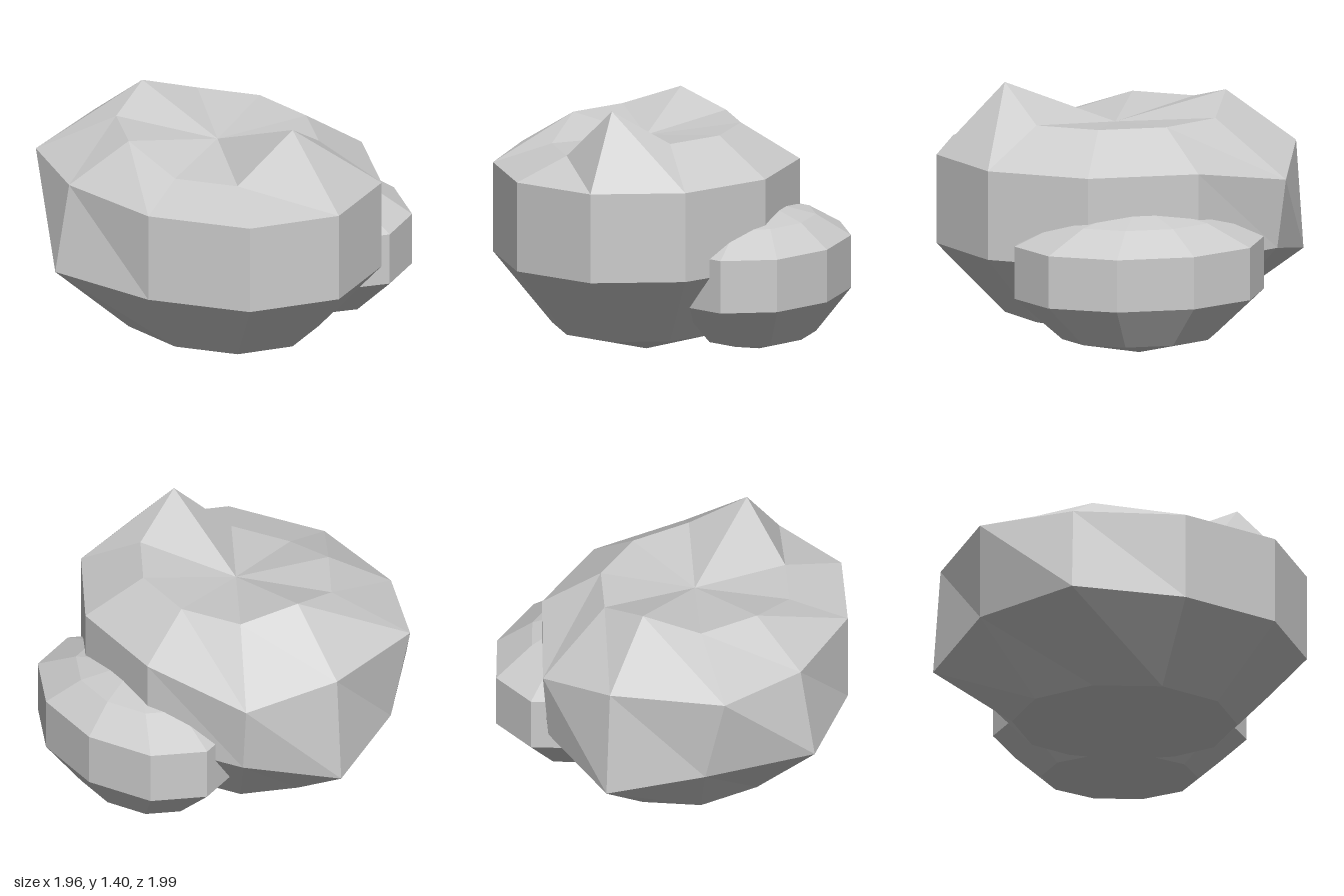
import * as THREE from 'three';

const SEGMENTS = 10, ROWS = 5;

// Faceted boulder: a coarse sphere, stretched, then reshaped by a rule.
// Rows run from the top (0) to the bottom (5); columns start at the front and run towards +x.
function makeBoulder(name, centre, radii, reshape) {
  const sphere = new THREE.SphereGeometry(1, SEGMENTS, ROWS, Math.PI / 2);
  sphere.scale(...radii).translate(...centre);
  const pos = sphere.attributes.position;
  const p = new THREE.Vector3();
  for (let row = 0; row <= ROWS; row++) {
    for (let i = 0; i <= SEGMENTS; i++) {
      const index = row * (SEGMENTS + 1) + i;
      p.fromBufferAttribute(pos, index);
      reshape(p, row, i % SEGMENTS);
      pos.setXYZ(index, p.x, p.y, p.z);
    }
  }
  const geometry = sphere.toNonIndexed();
  geometry.computeVertexNormals();
  const mesh = new THREE.Mesh(
    geometry,
    new THREE.MeshStandardMaterial({ color: 0xcccccc, flatShading: true })
  );
  mesh.name = name;
  return mesh;
}

export function createModel() {
  const group = new THREE.Group();
  group.name = 'boulders';

  // Large boulder: sunken top with two peaks, chipped back and bulging -x side
  const topHeights = { 0: 1.4, 5: 1.31, 8: 1.12, 9: 1.12 };
  const chips = {
    '2,4': [0.38, 0.91, -0.81],
    '2,5': [-0.1, 1.02, -0.96],
    '2,6': [-0.69, 1.02, -0.77],
    '2,7': [-0.89, 1.02, -0.28],
    '3,5': [-0.1, 0.43, -1.0],
    '3,7': [-0.98, 0.54, -0.29],
  };
  group.add(makeBoulder('largeBoulder', [-0.1, 0.78, 0.02], [0.805, 0.78, 1.02], (p, row, col) => {
    // the middle rows are a little wider than the end rows
    if (row === 2 || row === 3) p.x = -0.1 + (p.x + 0.1) * 1.045;
    else p.x = -0.1 + (p.x + 0.1) * 1.04;
    if (row === 0) p.y = 1.16;
    if (row === 1) p.y = topHeights[col] ?? 1.22;
    const chip = chips[`${row},${col}`];
    if (chip) p.set(...chip);
  }));

  // Small boulder: leans into the large one, with a lowered top
  group.add(makeBoulder('smallBoulder', [0.53, 0.498, 0.015], [0.492, 0.46, 0.71], (p, row) => {
    if (row < 2) p.y -= 0.11;
  }));

  return group;
}
